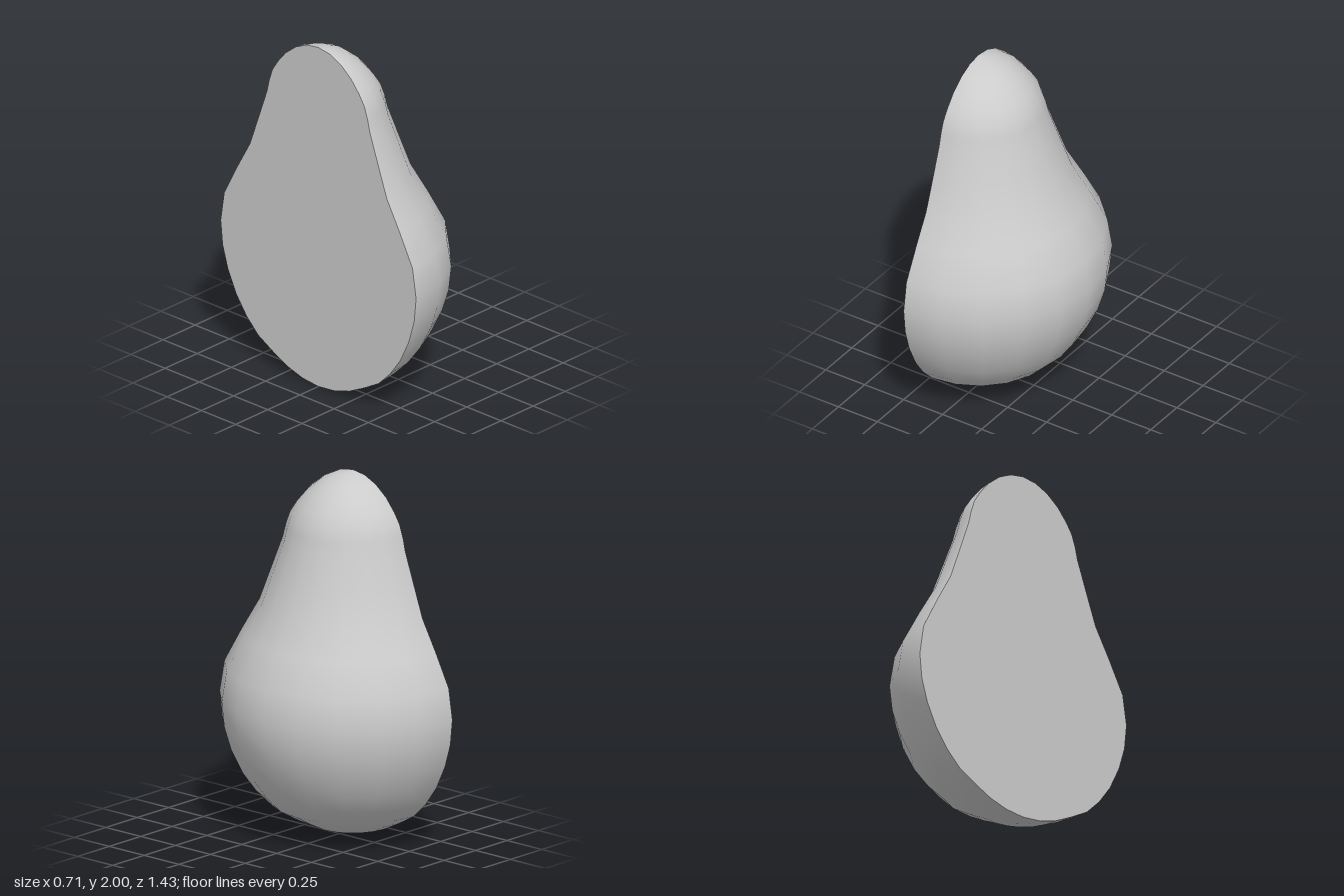
import * as THREE from 'three';

// Profile from base to tip: [radius, height]
const PROFILE = [
  [0, 0], [0.116, 0.012], [0.225, 0.045], [0.335, 0.1], [0.44, 0.16], [0.525, 0.245],
  [0.6, 0.35], [0.662, 0.48], [0.7, 0.61], [0.714, 0.75], [0.688, 0.92],
  [0.595, 1.1], [0.5, 1.27], [0.436, 1.45], [0.376, 1.62],
  [0.36, 1.69], [0.336, 1.76], [0.298, 1.82], [0.24, 1.89], [0.165, 1.95], [0.085, 1.987], [0, 2],
].map(([r, y]) => new THREE.Vector2(r, y));

const CUT_X = -0.356;

export function createModel() {
  const group = new THREE.Group();
  group.name = 'halfPear';
  const material = new THREE.MeshStandardMaterial({ color: 0xcccccc });

  // Rounded outer skin: half a turn of the profile
  const skin = new THREE.Mesh(new THREE.LatheGeometry(PROFILE, 10, 0, Math.PI), material);
  skin.name = 'skin';

  // Flat cut face closing the half, facing -x
  const mirrored = PROFILE.slice(1, -1).reverse().map((p) => new THREE.Vector2(-p.x, p.y));
  const cutGeometry = new THREE.ShapeGeometry(new THREE.Shape([...PROFILE, ...mirrored]));
  cutGeometry.rotateY(-Math.PI / 2);
  const cutFace = new THREE.Mesh(cutGeometry, material);
  cutFace.name = 'cutFace';

  group.add(skin, cutFace);
  group.children.forEach((mesh) => { mesh.position.x = CUT_X; });
  return group;
}
